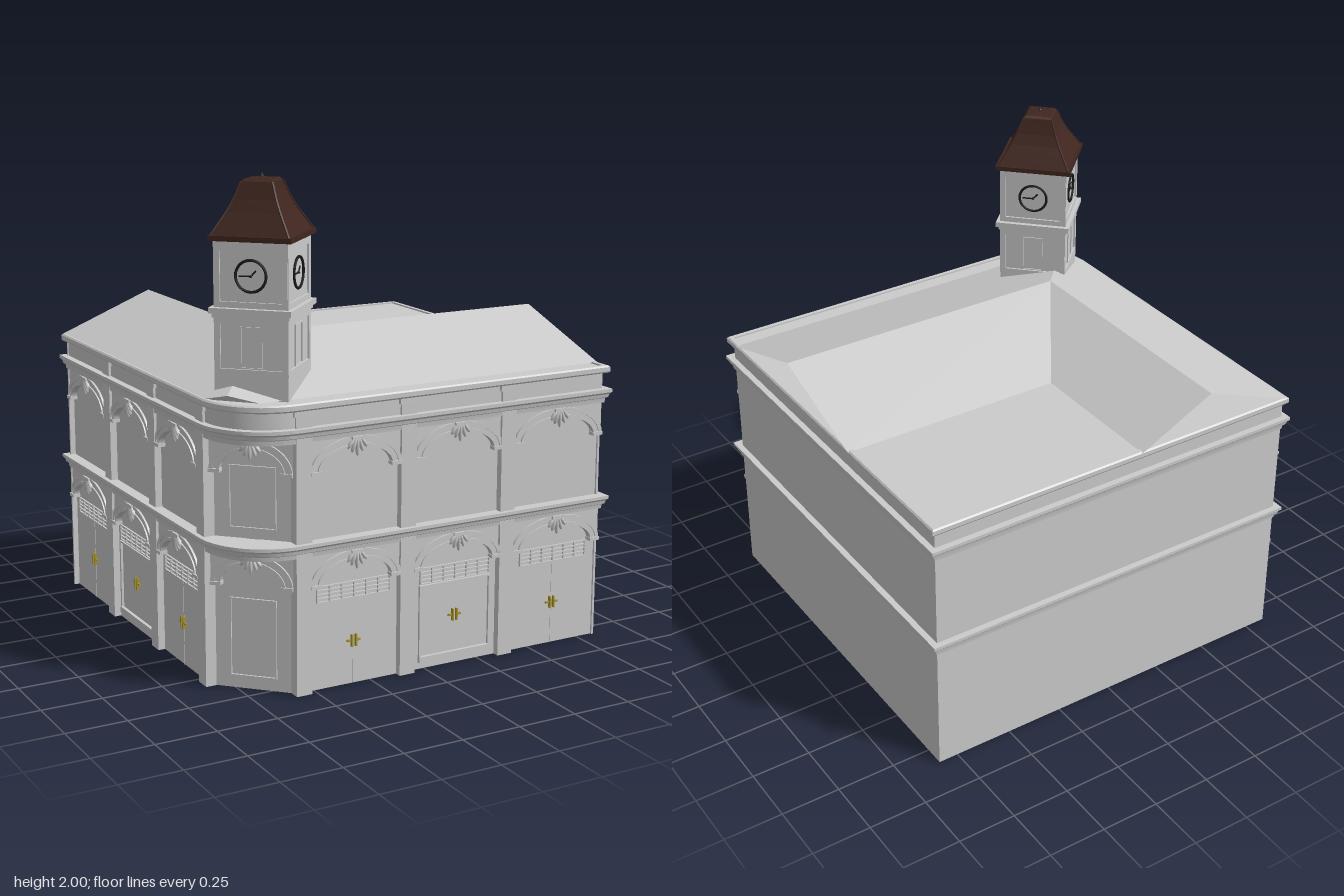
import * as THREE from 'three';
import { toCreasedNormals } from 'three/addons/utils/BufferGeometryUtils.js';

const stone = new THREE.MeshStandardMaterial({ color: 0xcccccc, side: THREE.DoubleSide });
const facet = new THREE.MeshStandardMaterial({ color: 0xcccccc, flatShading: true });
const brown = new THREE.MeshStandardMaterial({ color: 0x40261f, flatShading: true });
const dark = new THREE.MeshStandardMaterial({ color: 0x1c1c1c });
const gold = new THREE.MeshStandardMaterial({ color: 0xa8942c });

function add(parent, name, geo, mat, x = 0, y = 0, z = 0) {
  const m = new THREE.Mesh(geo, mat);
  m.name = name;
  m.position.set(x, y, z);
  parent.add(m);
  return m;
}
function box(parent, name, w, h, d, x, y, z, mat = stone) {
  return add(parent, name, new THREE.BoxGeometry(w, h, d), mat, x, y, z);
}
function group(parent, name) {
  const g = new THREE.Group();
  g.name = name;
  parent.add(g);
  return g;
}
const extrude = (shape, depth) =>
  new THREE.ExtrudeGeometry(shape, { depth, bevelEnabled: false, curveSegments: 20 });

// Rectangular frame centred on its origin
function frame(parent, name, w, h, t, d, x, y, z) {
  const rect = (S, a, b) => new S([[-a, -b], [a, -b], [a, b], [-a, b]].map(p => new THREE.Vector2(...p)));
  const s = rect(THREE.Shape, w / 2, h / 2);
  s.holes.push(rect(THREE.Path, w / 2 - t, h / 2 - t));
  return add(parent, name, extrude(s, d), stone, x, y, z);
}

// Building outline with one rounded corner, grown by an offset
function outline(o) {
  const lo = -0.845 - o, hi = 0.835 + o, r = 0.255 + o, pts = [[hi, -lo]];
  for (let i = 0; i <= 18; i++) {
    const a = Math.PI / 2 * (1 + i / 18);
    pts.push([-0.59 + r * Math.cos(a), 0.59 + r * Math.sin(a)]);
  }
  pts.push([lo, -hi], [hi, -hi]);
  return pts;
}

// Moulding swept round the outline; profile is a list of [offset, height]
function sweep(parent, name, profile) {
  const pos = [], rings = profile.map(([o, y]) => outline(o).map(([x, z]) => [x, y, z]));
  for (let i = 0; i < rings.length - 1; i++) {
    const n = rings[i].length;
    for (let j = 0; j < n; j++) {
      const k = (j + 1) % n, a = rings[i][j], b = rings[i][k], c = rings[i + 1][k], d = rings[i + 1][j];
      pos.push(...a, ...d, ...c, ...a, ...c, ...b);
    }
  }
  const g = new THREE.BufferGeometry();
  g.setAttribute('position', new THREE.Float32BufferAttribute(pos, 3));
  add(parent, name, toCreasedNormals(g, 0.4), stone);
}

// Flat polygon from corner points
function poly(parent, name, pts) {
  const pos = [];
  for (let i = 1; i < pts.length - 1; i++) pos.push(...pts[0], ...pts[i], ...pts[i + 1]);
  const g = new THREE.BufferGeometry();
  g.setAttribute('position', new THREE.Float32BufferAttribute(pos, 3));
  g.computeVertexNormals();
  add(parent, name, g, stone);
}

// Arched head of a bay: spandrel, stepped mouldings, blocks and leaf keystone
function archHead(bay, w, y) {
  const H = 0.128, a = w / 2;
  const s = new THREE.Shape();
  s.moveTo(-a, 0).lineTo(-a, H + 0.01).lineTo(a, H + 0.01).lineTo(a, 0);
  s.lineTo(a - 0.02, 0).absellipse(0, 0, a - 0.02, H - 0.02, 0, Math.PI, false);
  add(bay, 'spandrel', extrude(s, 0.018), stone, 0, y, 0);
  [[0, 0.016, 0.027], [0.014, 0.032, 0.022], [0.03, 0.042, 0.028]].forEach(([o, i, d]) => {
    const m = new THREE.Shape();
    m.moveTo(a - o, 0).absellipse(0, 0, a - o, H - o, 0, Math.PI, false);
    m.lineTo(-a + i, 0).absellipse(0, 0, a - i, H - i, Math.PI, 0, true);
    add(bay, 'archMoulding', extrude(m, d), stone, 0, y, 0);
  });
  for (const k of [-1, 1]) box(bay, 'archBlock', 0.046, 0.014, 0.032, k * (a - 0.023), y, 0.016);
  for (let i = -2; i <= 2; i++) {
    const leaf = add(bay, 'keystoneLeaf', new THREE.SphereGeometry(1, 8, 6), stone,
      i * 0.014, y + 0.09 + Math.abs(i) * 0.006, 0.027);
    leaf.scale.set(0.008, 0.042 - Math.abs(i) * 0.008, 0.011);
    leaf.rotation.z = i * 0.3;
  }
  box(bay, 'keystoneCap', 0.05, 0.014, 0.036, 0, y + 0.121, 0.018);
}

function makeBay(parent, name, x, z, w) {
  const bay = group(parent, name);
  bay.position.set(x, 0, z);
  box(bay, 'backPanel', w, 1.07, 0.01, 0, 0.535, -0.005);
  archHead(bay, w, 0.428);
  archHead(bay, w, 0.878);
  return bay;
}

function doorHandles(bay, y) {
  for (const k of [-1, 1]) {
    box(bay, 'doorHandle', 0.006, 0.05, 0.012, k * 0.009, y, 0.006, gold);
    box(bay, 'doorLatch', 0.018, 0.008, 0.008, k * 0.02, y, 0.004, gold);
  }
}

// Ventilation grille of crossed bars
function grille(bay, y) {
  for (let i = 0; i < 5; i++) box(bay, 'grilleRail', 0.33, 0.004, 0.008, 0, y + (i - 2) * 0.016, 0.004);
  for (let i = 0; i < 7; i++) box(bay, 'grilleBar', 0.005, 0.068, 0.008, (i - 3) * 0.054, y, 0.004);
}

// Street front; dir mirrors the order of the bays
function makeFacade(parent, name, dir) {
  const f = group(parent, name);
  [[-0.325, 0.40], [0.14, 0.41], [0.616, 0.43]].forEach(([x, w], i) => {
    const bay = makeBay(f, 'bay', x * dir, 0.822, w);
    grille(bay, 0.388);
    if (i === 1) {
      frame(bay, 'doorFrame', 0.335, 0.32, 0.008, 0.01, 0, 0.19, 0);
      box(bay, 'doorStep', 0.335, 0.025, 0.014, 0, 0.04, 0.007);
    } else box(bay, 'doorSeam', 0.003, 0.35, 0.002, 0, 0.175, 0.001);
    doorHandles(bay, i === 1 ? 0.205 : 0.178);
  });
  for (const x of [-0.555, -0.095, 0.37]) {
    box(f, 'pilaster', 0.068, 1.14, 0.045, x * dir, 0.57, 0.829);
    box(f, 'pilasterCap', 0.084, 0.03, 0.05, x * dir, 1.122, 0.829);
  }
  return f;
}

function makeTower(parent) {
  const t = group(parent, 'clockTower');
  t.position.set(-0.588, 0, 0.582);
  const prism = (name, r, y0, y1, mat = facet) =>
    add(t, name, new THREE.CylinderGeometry(r, r, y1 - y0, 4), mat, 0, (y0 + y1) / 2, 0);
  prism('towerShaft', 0.197, 1.14, 1.755);
  prism('towerBase', 0.207, 1.14, 1.245);
  prism('towerBandLower', 0.216, 1.462, 1.478);
  prism('towerBand', 0.231, 1.478, 1.5);
  prism('towerFrieze', 0.208, 1.738, 1.755);
  prism('roofEave', 0.232, 1.752, 1.772, brown);
  const profile = [[0.218, 1.77], [0.186, 1.81], [0.15, 1.855], [0.12, 1.9], [0.1, 1.94], [0.088, 1.965], [0.075, 1.974], [0, 1.979]];
  add(t, 'towerRoof', new THREE.LatheGeometry(profile.map(p => new THREE.Vector2(...p)), 4), brown);
  add(t, 'finial', new THREE.ConeGeometry(0.007, 0.024, 8), brown, 0, 1.988, 0);
  add(t, 'finialBall', new THREE.SphereGeometry(0.008, 8, 6), brown, 0, 1.98, 0);
  for (let i = 0; i < 4; i++) {
    // Hip rolls of the tower roof
    const a = i * Math.PI / 2;
    const path = new THREE.CatmullRomCurve3(profile.slice(0, 6).map(([r, y]) =>
      new THREE.Vector3(r * Math.sin(a), y, r * Math.cos(a))));
    add(t, 'roofHip', new THREE.TubeGeometry(path, 10, 0.005, 5), brown);
    // One panelled face with its clock
    const f = group(t, 'towerFace');
    f.rotation.y = a + Math.PI / 4;
    const z = 0.139;
    frame(f, 'clockPanel', 0.29, 0.238, 0.023, 0.008, 0, 1.62, z);
    frame(f, 'lowerPanel', 0.29, 0.217, 0.023, 0.008, 0, 1.353, z);
    frame(f, 'blindWindow', 0.088, 0.16, 0.004, 0.005, 0, 1.35, z);
    add(f, 'clockRing', new THREE.TorusGeometry(0.06, 0.0055, 6, 32), dark, 0, 1.623, z + 0.004);
    add(f, 'clockHub', new THREE.SphereGeometry(0.006, 8, 6), dark, 0, 1.623, z + 0.004);
    box(f, 'minuteHand', 0.048, 0.005, 0.004, -0.024, 1.622, z + 0.003, dark);
    box(f, 'hourHand', 0.03, 0.006, 0.004, 0.01, 1.633, z + 0.003, dark).rotation.z = 0.85;
  }
}

function makeRoof(parent) {
  const r = group(parent, 'roof');
  const top = 1.322, low = 1.157;
  const flat = new THREE.Shape(outline(0).map(([x, z]) => new THREE.Vector2(x, -z)));
  add(r, 'flatRoof', new THREE.ShapeGeometry(flat).rotateX(-Math.PI / 2), stone, 0, 1.153, 0);
  const A = [-0.44, top, 0.27], B = [0.856, top, 0.27], J = [-0.44, top, -0.856];
  const V = [-0.11, low, -0.22], G = [-0.797, 1.182, 0.695], F = [-0.7, low, 0.77], H = [-0.856, low, 0.6];
  poly(r, 'frontSlope', [A, G, F, [0.856, low, 0.77], B]);
  poly(r, 'sideSlope', [A, J, [-0.856, low, -0.856], H, G]);
  poly(r, 'cornerSlope', [G, H, F]);
  poly(r, 'innerSlopeSide', [A, V, [-0.11, low, -0.856], J]);
  poly(r, 'innerSlopeFront', [A, B, [0.856, low, -0.22], V]);
}

export function createModel() {
  const model = new THREE.Group();
  model.name = 'cornerBuilding';

  // Plain party walls
  box(model, 'plainSideWall', 0.01, 1.14, 1.665, 0.83, 0.57, -0.0025);
  box(model, 'plainBackWall', 1.68, 1.14, 0.01, -0.005, 0.57, -0.83);

  // Two street fronts and the splayed corner between them
  makeFacade(model, 'frontFacade', 1);
  makeFacade(model, 'sideFacade', -1).rotation.y = -Math.PI / 2;
  const corner = group(model, 'cornerFacade');
  corner.rotation.y = -Math.PI / 4;
  const bay = makeBay(corner, 'cornerBay', 0, 0.985, 0.335);
  frame(bay, 'cornerDoor', 0.19, 0.32, 0.006, 0.008, 0, 0.21, 0);
  frame(bay, 'cornerWindow', 0.19, 0.25, 0.006, 0.008, 0, 0.775, 0);

  // String course, cornice, parapet and coping
  sweep(model, 'stringCourse', [[-0.1, 0.555], [0.004, 0.555], [0.006, 0.572], [0.014, 0.576], [0.018, 0.59], [0.026, 0.598], [0.026, 0.611], [-0.1, 0.611]]);
  sweep(model, 'cornice', [[-0.1, 1.005], [0.004, 1.005], [0.006, 1.024], [0.014, 1.028], [0.018, 1.042], [0.026, 1.05], [0.026, 1.064], [-0.1, 1.064]]);
  sweep(model, 'parapet', [[-0.004, 1.06], [-0.004, 1.135]]);
  sweep(model, 'coping', [[-0.02, 1.13], [0.014, 1.13], [0.018, 1.136], [0.018, 1.154], [0.012, 1.16], [-0.006, 1.16], [-0.006, 1.15]]);

  makeRoof(model);
  makeTower(model);
  return model;
}
